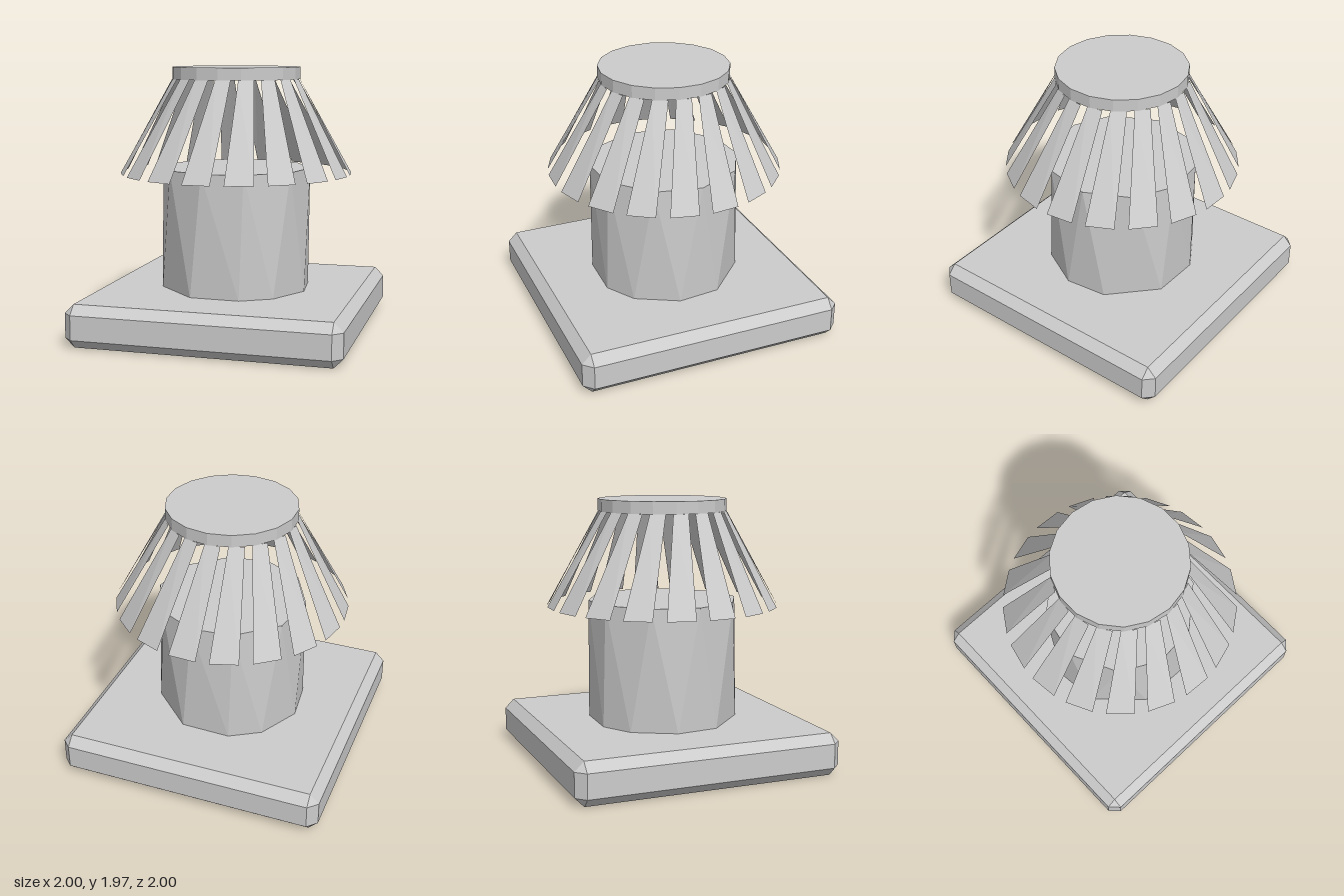
import * as THREE from 'three';
import { ConvexGeometry } from 'three/addons/geometries/ConvexGeometry.js';

const grey = new THREE.MeshStandardMaterial({ color: 0xcccccc, flatShading: true });
const greyThin = new THREE.MeshStandardMaterial({ color: 0xcccccc, flatShading: true, side: THREE.DoubleSide });

// Point on a circle; angle in degrees from +z towards +x
function polar(r, deg, y) {
  const a = THREE.MathUtils.degToRad(deg);
  return new THREE.Vector3(r * Math.sin(a), y, r * Math.cos(a));
}

function part(name, geometry, material = grey) {
  const mesh = new THREE.Mesh(geometry, material);
  mesh.name = name;
  return mesh;
}

function fromTriangles(points) {
  const g = new THREE.BufferGeometry().setFromPoints(points);
  g.computeVertexNormals();
  return g;
}

// Box with every edge and corner cut at 45 degrees
function chamferedBox(w, h, d, c) {
  const pts = [];
  for (const x of [-1, 1]) for (const y of [-1, 1]) for (const z of [-1, 1])
    for (let k = 0; k < 3; k++)
      pts.push(new THREE.Vector3(
        x * (w / 2 - (k === 0 ? 0 : c)),
        y * (h / 2 - (k === 1 ? 0 : c)),
        z * (d / 2 - (k === 2 ? 0 : c))));
  return new ConvexGeometry(pts);
}

// Ten-sided drum whose upper and lower corners alternate, giving triangular facets
function facetedDrum(r, y0, y1) {
  const half = { low: [-67, -21, 17.5, 44, 80], high: [-44, -11, 21, 60, 97] };
  const ring = (angles, y) => [...angles, ...angles.map(a => a + 180)].map(a => polar(r, a, y));
  const low = ring(half.low, y0), high = ring(half.high, y1);
  const top = new THREE.Vector3(0, y1, 0), bottom = new THREE.Vector3(0, y0, 0);
  const tris = [];
  for (let i = 0; i < 10; i++) {
    const j = (i + 1) % 10;
    tris.push(low[i], low[j], high[i], high[i], low[j], high[j]);
    tris.push(top, high[i], high[j], bottom, low[j], low[i]);
  }
  return fromTriangles(tris);
}

// Thin slat flaring down and outwards with a slight twist
function slat(deg) {
  const half = 6.8, twist = 7.3;
  const a = polar(0.867, deg - half, 1.18), b = polar(0.867, deg + half, 1.18);
  const c = polar(0.477, deg + twist + half, 1.88), d = polar(0.477, deg + twist - half, 1.88);
  return fromTriangles([a, b, d, b, c, d]);
}

export function createModel() {
  const model = new THREE.Group();
  model.name = 'slattedVent';

  const base = part('basePlate', chamferedBox(2, 0.315, 2, 0.068));
  base.position.y = 0.1575;
  model.add(base);

  model.add(part('drum', facetedDrum(0.56, 0.31, 1.22)));

  // Hood of evenly spaced slats
  const hood = new THREE.Group();
  hood.name = 'slattedHood';
  const count = 18;
  for (let i = 0; i < count; i++) hood.add(part('slat', slat(-3.1 + i * 360 / count), greyThin));
  model.add(hood);

  const cap = part('cap', new THREE.CylinderGeometry(0.479, 0.479, 0.09, count));
  cap.position.y = 1.925;
  model.add(cap);

  return model;
}
